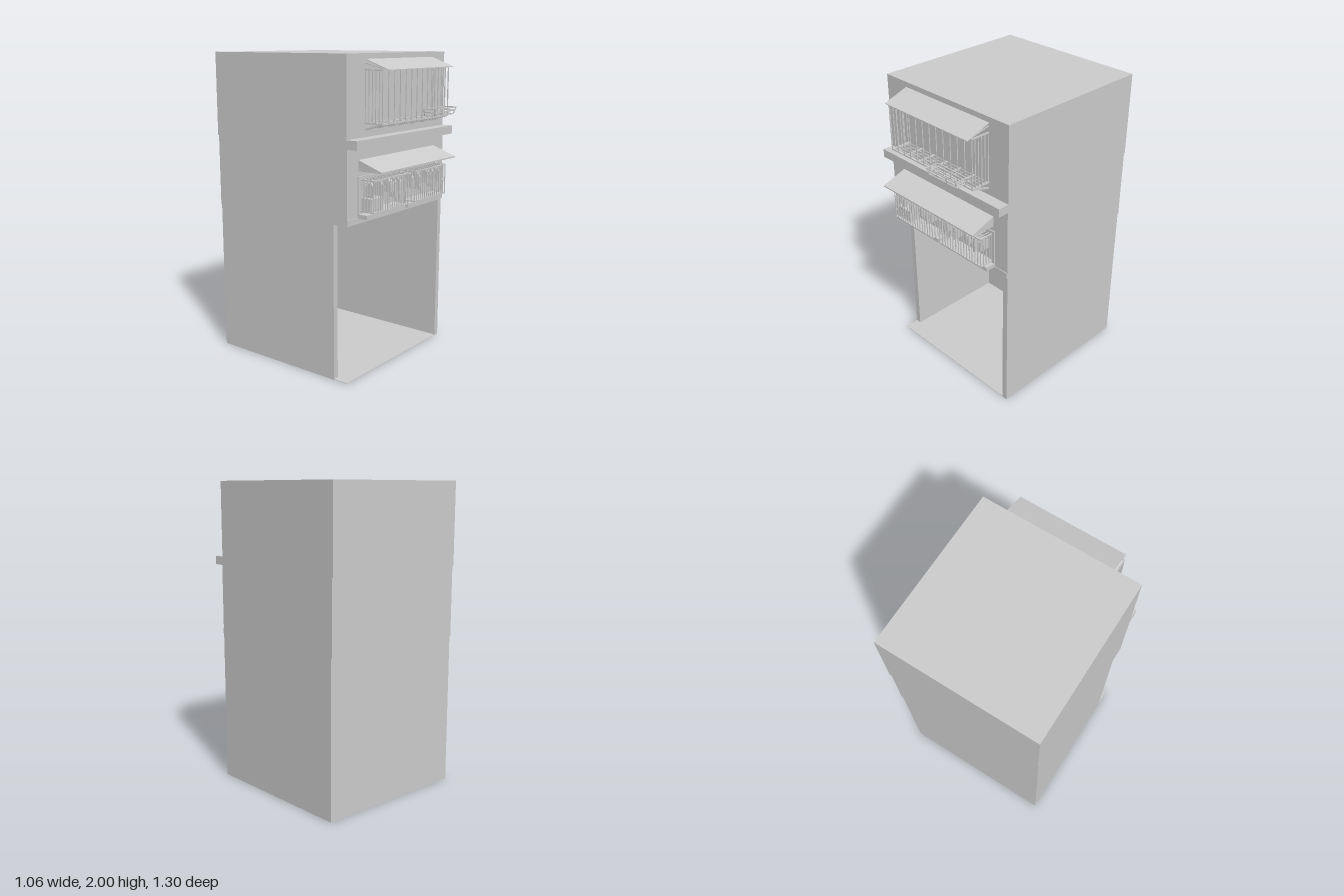
import * as THREE from 'three';

const material = new THREE.MeshStandardMaterial({ color: 0xcccccc, flatShading: true, side: THREE.DoubleSide });

export function createModel() {
  const model = new THREE.Group();

  const group = (name) => {
    const g = new THREE.Group();
    g.name = name;
    model.add(g);
    return g;
  };
  const mesh = (parent, name, geometry) => {
    const m = new THREE.Mesh(geometry, material);
    m.name = name;
    parent.add(m);
    return m;
  };
  // Box given by its limits on each axis
  const box = (parent, name, x0, x1, y0, y1, z0, z1) => {
    const m = mesh(parent, name, new THREE.BoxGeometry(x1 - x0, y1 - y0, z1 - z0));
    m.position.set((x0 + x1) / 2, (y0 + y1) / 2, (z0 + z1) / 2);
    return m;
  };
  // Thin square bar between two points
  const bar = (parent, name, a, b, t = 0.005) => {
    const p = new THREE.Vector3(...a), q = new THREE.Vector3(...b);
    const m = mesh(parent, name, new THREE.BoxGeometry(t, t, p.distanceTo(q)));
    m.position.copy(p).lerp(q, 0.5);
    m.lookAt(q);
    return m;
  };
  // Profile in (z, y) extruded along x
  const extrudeX = (parent, name, points, x0, x1) => {
    const shape = new THREE.Shape(points.map(([z, y]) => new THREE.Vector2(-z, y)));
    const g = new THREE.ExtrudeGeometry(shape, { depth: x1 - x0, bevelEnabled: false });
    g.rotateY(Math.PI / 2);
    const m = mesh(parent, name, g);
    m.position.x = x0;
    return m;
  };

  // Open ground floor
  const ground = group('groundFloor');
  box(ground, 'floor', -0.53, 0.53, 0.002, 0.005, -0.635, 0.43);
  box(ground, 'rightHandWall', -0.53, -0.492, 0, 1, -0.635, 0.33);
  box(ground, 'leftHandWall', 0.492, 0.53, 0, 1, -0.635, 0.43);
  box(ground, 'backWall', -0.492, 0.492, 0, 1, -0.635, -0.6);

  // Solid staircase with landing along the back wall
  const steps = 17, top = 0.53, startX = 0.225, run = 0.525 / steps, rise = top / steps;
  const stairShape = new THREE.Shape().moveTo(-0.492, 0).lineTo(startX, 0);
  for (let i = 0; i < steps; i++) {
    stairShape.lineTo(startX - i * run, (i + 1) * rise);
    stairShape.lineTo(startX - (i + 1) * run, (i + 1) * rise);
  }
  stairShape.lineTo(-0.492, top);
  const stairs = mesh(ground, 'staircase', new THREE.ExtrudeGeometry(stairShape, { depth: 0.21, bevelEnabled: false }));
  stairs.position.z = -0.6;

  // Upper storeys and the ledge between them
  const upper = group('upperStoreys');
  box(upper, 'middleStorey', -0.53, 0.53, 0.995, 1.46, -0.642, 0.432);
  box(upper, 'topStorey', -0.53, 0.53, 1.46, 2, -0.65, 0.428);
  box(upper, 'ledge', -0.53, 0.53, 1.455, 1.51, 0.42, 0.503);
  box(upper, 'lowerTrim', -0.53, 0.53, 0.997, 1.035, 0.43, 0.437);

  // Middle storey: wedge awning above two caged windows
  extrudeX(upper, 'lowerAwning', [[0.43, 1.315], [0.6, 1.315], [0.6, 1.323], [0.43, 1.383]], -0.42, 0.412);

  const cageZ = 0.532, lowY = 1.07, highY = 1.262;
  const windowCage = (name, x0, x1) => {
    const g = group(name);
    // Frame and sill
    const frame = new THREE.Shape([[x0 - 0.027, 1.03], [x1 + 0.02, 1.03], [x1 + 0.02, 1.283], [x0 - 0.027, 1.283]]
      .map((p) => new THREE.Vector2(...p)));
    frame.holes.push(new THREE.Path([[x0, lowY], [x0, highY], [x1, highY], [x1, lowY]].map((p) => new THREE.Vector2(...p))));
    mesh(g, 'windowFrame', new THREE.ExtrudeGeometry(frame, { depth: 0.012, bevelEnabled: false })).position.z = 0.428;
    box(g, 'sill', x0 - 0.027, x1 + 0.02, 1.03, 1.056, 0.43, 0.503);
    box(g, 'cageTray', x0, x1, 1.065, 1.07, 0.43, cageZ);
    // Vertical bars and rails
    const n = 15;
    for (let i = 0; i <= n; i++) {
      const x = x0 + ((x1 - x0) * i) / n;
      bar(g, 'frontBar', [x, lowY, cageZ], [x, highY, cageZ]);
      bar(g, 'roofBar', [x, highY, 0.43], [x, highY, cageZ], 0.004);
    }
    for (const x of [x0, x1])
      for (let i = 0; i < 4; i++) bar(g, 'sideBar', [x, lowY, 0.44 + i * 0.023], [x, highY, 0.44 + i * 0.023]);
    for (const y of [lowY, highY]) {
      bar(g, 'frontRail', [x0, y, cageZ], [x1, y, cageZ], 0.008);
      for (const x of [x0, x1]) bar(g, 'sideRail', [x, y, 0.43], [x, y, cageZ], 0.008);
    }
    bar(g, 'clothesRail', [x0, 1.245, 0.475], [x1, 1.245, 0.475], 0.006);
    return g;
  };
  const cages = [windowCage('rightWindowCage', -0.403, -0.038), windowCage('leftWindowCage', 0.036, 0.405)];

  // Garments hung side-on from the rails: x, bottom height
  const garments = [
    [[-0.36, 1.15], [-0.27, 1.15], [-0.18, 1.16], [-0.165, 1.165], [-0.125, 1.12], [-0.085, 1.15]],
    [[0.065, 1.15], [0.14, 1.13], [0.24, 1.16], [0.262, 1.15], [0.315, 1.12], [0.37, 1.15]],
  ];
  garments.forEach((list, i) => list.forEach(([x, bottom], k) => {
    const w = 0.028 + 0.006 * (k % 2), z = 0.475;
    extrudeX(cages[i], 'garment', [[z - w, bottom], [z + w, bottom], [z + w, 1.215], [z + 0.01, 1.24], [z - 0.01, 1.24], [z - w, 1.215]],
      x - 0.007, x + 0.007);
  }));
  box(cages[0], 'boxUnit', -0.398, -0.278, 1.07, 1.15, 0.44, 0.515);

  // Top storey: barred balcony
  const balcony = group('balconyCage');
  const bx0 = -0.355, bx1 = 0.372, by0 = 1.593, by1 = 1.905, bz = 0.557, wallZ = 0.428;
  for (let i = 0; i <= 12; i++) {
    const x = bx0 + ((bx1 - bx0) * i) / 12;
    bar(balcony, 'frontBar', [x, by0, bz], [x, by1, bz], 0.006);
  }
  for (const x of [bx0, bx1]) {
    for (let i = 0; i < 5; i++) bar(balcony, 'sideBar', [x, by0, wallZ + 0.006 + i * 0.025], [x, by1, wallZ + 0.006 + i * 0.025], 0.006);
    for (const y of [by0, by1]) bar(balcony, 'sideRail', [x, y, wallZ], [x, y, bz], 0.008);
    bar(balcony, 'awningStrut', [x, 1.945, wallZ], [x, 1.915, bz], 0.005);
  }
  for (const y of [by0, by1]) bar(balcony, 'frontRail', [bx0, y, bz], [bx1, y, bz], 0.008);
  for (let i = 0; i < 5; i++) bar(balcony, 'floorBar', [bx0, by0, 0.435 + i * 0.025], [bx1, by0, 0.435 + i * 0.025], 0.005);

  // Brackets under the balcony
  for (let i = 0; i < 7; i++) {
    const x = -0.345 + i * 0.119;
    bar(balcony, 'bracketArm', [x, by0, wallZ], [x, by0, bz], 0.01);
    bar(balcony, 'bracketBrace', [x, 1.555, wallZ], [x, by0, bz], 0.01);
  }

  // Thin sloped awning above the balcony
  extrudeX(balcony, 'upperAwning', [[wallZ, 1.962], [0.592, 1.905], [0.592, 1.909], [wallZ, 1.967]], -0.347, 0.377);

  // Tapered rail basket hung on the balcony front
  const basket = group('hangingBasket');
  const ring = (t) => {
    const y = 1.613 + 0.042 * t, s = 0.012 * (1 - t);
    return [[0.08 + s, y, 0.562], [0.08 + s, y, 0.645 - s], [0.332 - s, y, 0.645 - s], [0.332 - s, y, 0.562]];
  };
  for (const t of [0, 0.5, 1]) {
    const r = ring(t);
    for (let i = 0; i < 4; i++) bar(basket, 'basketRail', r[i], r[(i + 1) % 4], 0.006);
  }
  const low = ring(0), high = ring(1);
  const mix = (a, b, t) => a.map((v, i) => v + (b[i] - v) * t);
  for (let i = 0; i < 4; i++) {
    bar(basket, 'basketPost', mix(low[1], low[2], i / 3), mix(high[1], high[2], i / 3), 0.006);
    bar(basket, 'basketFloorBar', mix(low[0], low[3], i / 3), mix(low[1], low[2], i / 3), 0.005);
  }
  for (const i of [0, 3]) bar(basket, 'basketPost', low[i], high[i], 0.006);

  return model;
}
